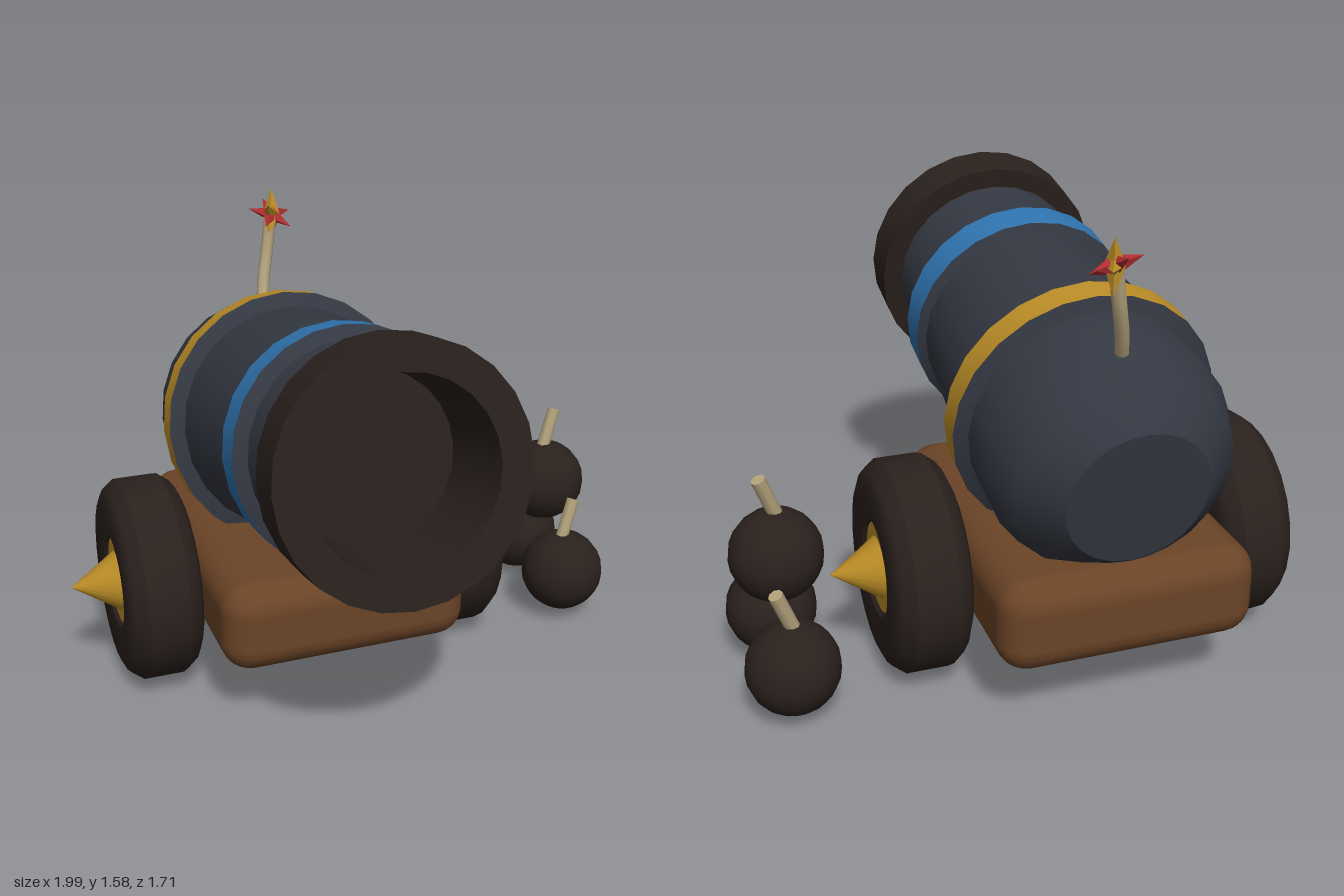
import * as THREE from 'three';
import { toCreasedNormals } from 'three/addons/utils/BufferGeometryUtils.js';
import { RoundedBoxGeometry } from 'three/addons/geometries/RoundedBoxGeometry.js';

const mat = (color, extra = {}) => new THREE.MeshStandardMaterial({ color, ...extra });
const iron = mat(0x343842);
const dark = mat(0x2a211d);
const blue = mat(0x2f74b0);
const gold = mat(0xba8c26);
const wood = mat(0x6b4427);
const cord = mat(0xb3a27c);
const red = mat(0xb02c30);

function part(parent, name, geometry, material, position = [0, 0, 0]) {
  const mesh = new THREE.Mesh(geometry, material);
  mesh.name = name;
  mesh.position.set(...position);
  parent.add(mesh);
  return mesh;
}

// Turned part; the profile is a list of [radius, height], rising on the outside
const turned = (profile, sides = 24) => toCreasedNormals(
  new THREE.LatheGeometry(profile.map(([r, y]) => new THREE.Vector2(r, y)), sides), 0.6);

// Puffy five-pointed star facing z
function starGeometry(outer, inner, depth) {
  const p = [];
  const corner = (i) => {
    const a = Math.PI / 2 + i * Math.PI / 5, r = i % 2 ? inner : outer;
    return [r * Math.cos(a), r * Math.sin(a), 0];
  };
  for (let i = 0; i < 10; i++) {
    p.push(...corner(i), ...corner(i + 1), 0, 0, depth);
    p.push(...corner(i + 1), ...corner(i), 0, 0, -depth);
  }
  const g = new THREE.BufferGeometry();
  g.setAttribute('position', new THREE.Float32BufferAttribute(p, 3));
  g.computeVertexNormals();
  return g;
}

// Barrel along local y, muzzle face at the local origin
function buildBarrel() {
  const barrel = new THREE.Group();
  barrel.name = 'barrel';
  part(barrel, 'barrelBody', turned([
    [0, -1.625], [0.235, -1.62], [0.355, -1.52], [0.403, -1.39], [0.4, -1.12],
    [0.365, -0.59], [0.345, -0.43], [0.336, -0.14]]), iron);
  part(barrel, 'muzzleRing', turned([
    [0.33, -0.16], [0.404, -0.156], [0.404, 0], [0.3, 0], [0.275, -0.3], [0, -0.3]]), dark);

  // Each band is a coloured hoop with sloping iron shoulders
  const band = (name, back, front, r, base, material) => {
    part(barrel, name, turned([[r, back], [r, front]]), material);
    part(barrel, name + 'BackShoulder', turned([[base, back - 0.02], [r, back]]), iron);
    part(barrel, name + 'FrontShoulder', turned([[r, front], [base - 0.01, front + 0.02]]), iron);
  };
  band('frontBand', -0.57, -0.45, 0.394, 0.36, blue);
  band('rearBand', -1.173, -1.08, 0.446, 0.4, gold);

  barrel.position.set(-0.165, 1.08, 0.782);
  barrel.rotation.x = Math.acos(0.19);
  return barrel;
}

function buildWheel(name, x) {
  const wheel = new THREE.Group();
  wheel.name = name;
  const half = [[0.14, 0.1], [0.165, 0.122], [0.29, 0.128], [0.325, 0.112], [0.357, 0.07]];
  const lower = half.map(([r, y]) => [r, -y]);
  part(wheel, 'tyre', turned([...lower, ...half.slice().reverse()]), dark);
  part(wheel, 'hub', new THREE.CylinderGeometry(0.152, 0.152, 0.22, 24), gold);
  wheel.position.set(x, 0.363, -0.255);
  wheel.rotation.z = x > 0 ? -Math.PI / 2 : Math.PI / 2;
  // Pointed hub cap on the outer side
  part(wheel, 'hubCone', new THREE.ConeGeometry(0.11, 0.17, 20), gold, [0, 0.187, 0]);
  return wheel;
}

function buildBomb(y, z) {
  const bomb = new THREE.Group();
  bomb.name = 'cannonball';
  part(bomb, 'ball', new THREE.SphereGeometry(0.153, 18, 12), dark);
  const dir = new THREE.Vector3(0.044, 0.12, -0.018).normalize();
  const fuse = part(bomb, 'ballFuse', new THREE.CylinderGeometry(0.024, 0.024, 0.15, 8), cord,
    [0.017, 0.207, -0.008]);
  fuse.quaternion.setFromUnitVectors(new THREE.Vector3(0, 1, 0), dir);
  bomb.position.set(0.842, y, z);
  return bomb;
}

export function createModel() {
  const model = new THREE.Group();
  model.name = 'cannon';

  // Carriage, wheels and axle
  part(model, 'carriage', new RoundedBoxGeometry(0.855, 0.315, 1.16, 3, 0.1), wood, [-0.163, 0.378, -0.255]);
  const axle = part(model, 'axle', new THREE.CylinderGeometry(0.06, 0.06, 1.1, 16), dark, [-0.163, 0.363, -0.255]);
  axle.rotation.z = Math.PI / 2;
  model.add(buildWheel('leftWheel', 0.398), buildWheel('rightWheel', -0.723));

  model.add(buildBarrel());

  // Burning fuse with two crossed spark stars
  const path = new THREE.CatmullRomCurve3([
    new THREE.Vector3(-0.155, 1.16, -0.66), new THREE.Vector3(-0.135, 1.26, -0.705),
    new THREE.Vector3(-0.11, 1.36, -0.738), new THREE.Vector3(-0.09, 1.47, -0.755)]);
  part(model, 'fuse', new THREE.TubeGeometry(path, 10, 0.023, 8), cord);
  const spark = [-0.082, 1.495, -0.757];
  const yellowStar = part(model, 'yellowSpark', starGeometry(0.09, 0.037, 0.032), gold, spark);
  yellowStar.rotation.set(0, Math.PI / 2 - 0.45, -0.25, 'YXZ');
  const redStar = part(model, 'redSpark', starGeometry(0.088, 0.034, 0.03), red, spark);
  redStar.rotation.set(-1.1, 0.2, 0.1);

  // Stack of three cannonballs
  for (const [y, z] of [[0.185, -0.088], [0.185, -0.47], [0.486, -0.276]]) model.add(buildBomb(y, z));

  return model;
}
